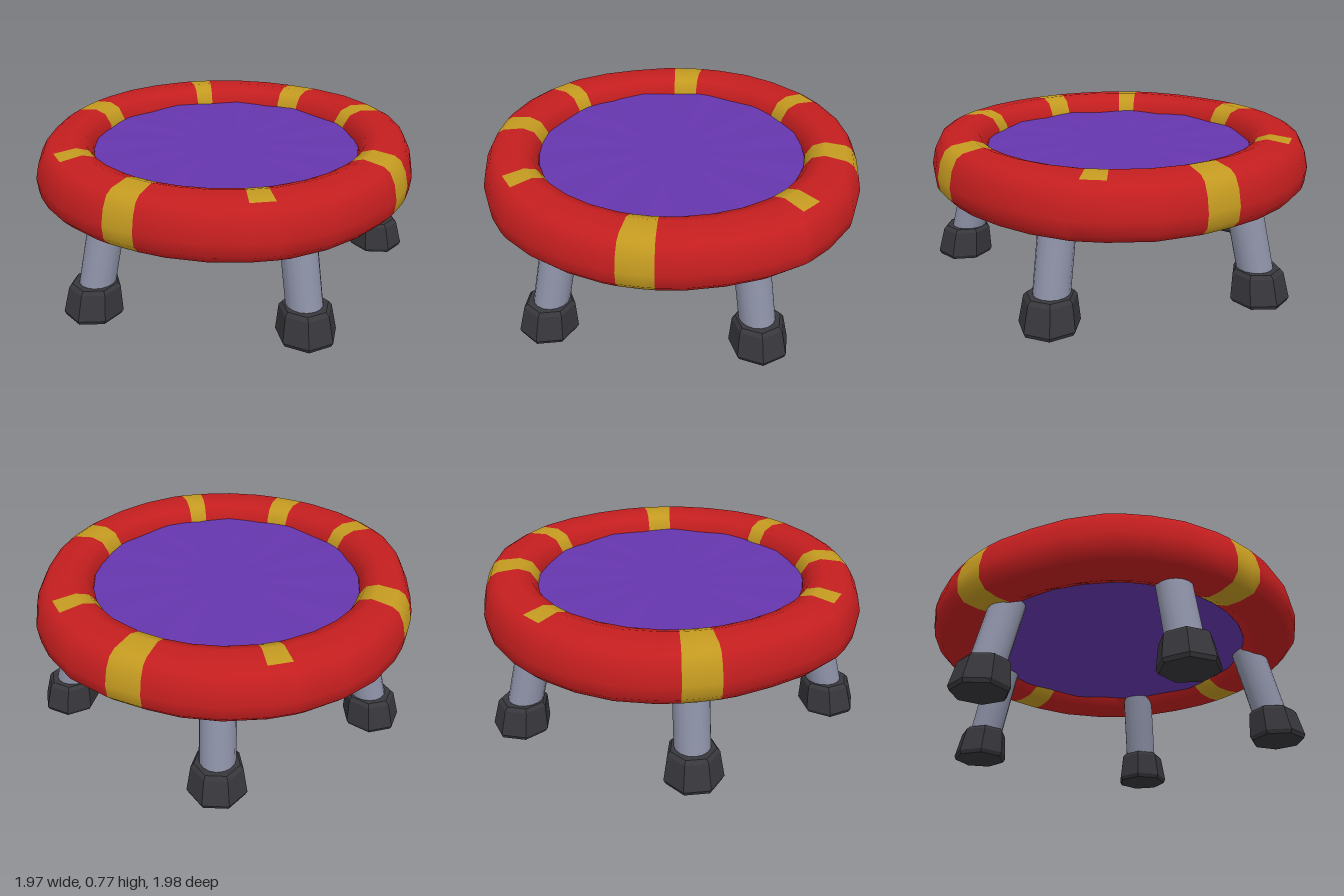
import * as THREE from 'three';
import { toCreasedNormals } from 'three/addons/utils/BufferGeometryUtils.js';

const material = (name, color) => {
  const m = new THREE.MeshStandardMaterial({ color });
  m.name = name;
  return m;
};

// Outer radius of the padding at 16 even steps, slightly uneven like stuffed cloth
const OUTER = [0.985, 0.99, 1.005, 0.995, 0.985, 1.005, 1.01, 0.975,
  0.985, 1.005, 1.005, 1.0, 0.99, 1.02, 1.02, 0.99];

// Closed padding cross-section [radius, height]: inside, over the top, outside, underneath
const PROFILE = [[0.70, 0.62], [0.705, 0.69], [0.74, 0.748], [0.80, 0.77], [0.905, 0.757],
  [0.94, 0.735], [0.968, 0.68], [0.985, 0.60], [0.978, 0.53], [0.94, 0.487],
  [0.86, 0.477], [0.78, 0.483], [0.715, 0.515]];

// Stripes: centre angle, half width, and whether they wrap all the way round
const H = Math.PI / 2;
const STRIPES = [
  [0.03, 0.09, true], [H + 0.028, 0.083, true], [2 * H - 0.015, 0.093, true], [3 * H + 0.07, 0.09, true],
  [0.913, 0.065, false], [2.2, 0.065, false], [4.04, 0.065, false], [5.39, 0.065, false],
];

function outerRadius(angle) {
  const t = ((angle / (Math.PI * 2)) * 16 + 16) % 16;
  const i = Math.floor(t);
  return THREE.MathUtils.lerp(OUTER[i], OUTER[(i + 1) % 16], t - i);
}

function paddingGeometry() {
  // Even steps plus exact stripe borders, dropping steps that crowd a border
  const borders = STRIPES.flatMap(([c, w]) => [c - w, c + w]).map((a) => (a + 4 * H) % (4 * H));
  const angles = [...borders];
  for (let i = 0; i < 32; i++) {
    const a = (i / 32) * 4 * H;
    if (borders.every((b) => Math.abs(b - a) > 0.04)) angles.push(a);
  }
  angles.sort((a, b) => a - b);

  const n = PROFILE.length;
  const positions = [];
  for (const a of angles) {
    const swell = outerRadius(a) - 0.985;
    for (const [r, y] of PROFILE) {
      const radius = r + (swell * (r - 0.7)) / 0.285;
      positions.push(radius * Math.cos(a), y, radius * Math.sin(a));
    }
  }

  const plain = [];
  const striped = [];
  angles.forEach((a, i) => {
    const k = (i + 1) % angles.length;
    const next = k === 0 ? angles[0] + 4 * H : angles[k];
    const mid = (a + next) / 2;
    const stripe = STRIPES.find(([c, w]) => Math.abs(Math.atan2(Math.sin(mid - c), Math.cos(mid - c))) < w);
    for (let j = 0; j < n; j++) {
      const m = (j + 1) % n;
      const list = stripe && (stripe[2] || j < 4) ? striped : plain;
      list.push(i * n + j, k * n + j, i * n + m, k * n + j, k * n + m, i * n + m);
    }
  });

  const g = new THREE.BufferGeometry();
  g.setAttribute('position', new THREE.Float32BufferAttribute(positions, 3));
  g.setIndex([...plain, ...striped]);
  g.addGroup(0, plain.length, 0);
  g.addGroup(plain.length, striped.length, 1);
  g.computeVertexNormals();
  return g;
}

// Jumping mat: a thick disc with faint radial ripples
function matGeometry() {
  const points = [[0, 0.525], [0.4, 0.525], [0.715, 0.52], [0.715, 0.675], [0.4, 0.678], [0, 0.672]];
  const g = new THREE.LatheGeometry(points.map(([x, y]) => new THREE.Vector2(x, y)), 48);
  const p = g.attributes.position;
  for (let i = 0; i < p.count; i++) {
    const r = Math.hypot(p.getX(i), p.getZ(i));
    const a = Math.atan2(p.getZ(i), p.getX(i));
    p.setY(i, p.getY(i) + 0.008 * r * Math.sin(12 * a));
  }
  return toCreasedNormals(g, 0.7);
}

// Seven-sided tapered rubber foot with a flat side outwards, its top leaning towards the centre
function footGeometry() {
  const points = [[0, 0], [0.14, 0], [0.151, 0.02], [0.13, 0.15], [0.114, 0.168], [0, 0.168]];
  const g = new THREE.LatheGeometry(points.map(([x, y]) => new THREE.Vector2(x, y)), 7);
  g.rotateY(-Math.PI / 2);
  const p = g.attributes.position;
  for (let i = 0; i < p.count; i++) p.setX(i, p.getX(i) - 0.12 * p.getY(i));
  return toCreasedNormals(g, 0.3);
}

export function createModel() {
  const red = material('red padding', 0xc41e1f);
  const yellow = material('yellow stripe', 0xc49a20);
  const purple = material('purple mat', 0x6636ae);
  const grey = material('grey metal', 0x8b8fa4);
  const black = material('dark rubber', 0x37373c);

  const model = new THREE.Group();
  model.name = 'trampoline';
  const add = (parent, name, geometry, mat) => {
    const mesh = new THREE.Mesh(geometry, mat);
    mesh.name = name;
    parent.add(mesh);
    return mesh;
  };

  add(model, 'padding', paddingGeometry(), [red, yellow]);
  add(model, 'mat', matGeometry(), purple);

  // Five splayed legs: [angle in degrees, foot distance]
  const foot = footGeometry();
  const tube = new THREE.CylinderGeometry(0.09, 0.09, 0.44, 16);
  for (const [deg, distance] of [[180, 0.855], [110.8, 0.888], [-110.8, 0.888], [36.7, 0.892], [-36.7, 0.892]]) {
    const leg = new THREE.Group();
    leg.name = 'leg';
    leg.rotation.y = -THREE.MathUtils.degToRad(deg);
    add(leg, 'foot', foot, black).position.x = distance;
    const post = add(leg, 'legTube', tube, grey);
    post.position.set(distance - 0.074, 0.325, 0);
    post.rotation.z = 0.25;
    model.add(leg);
  }
  return model;
}
